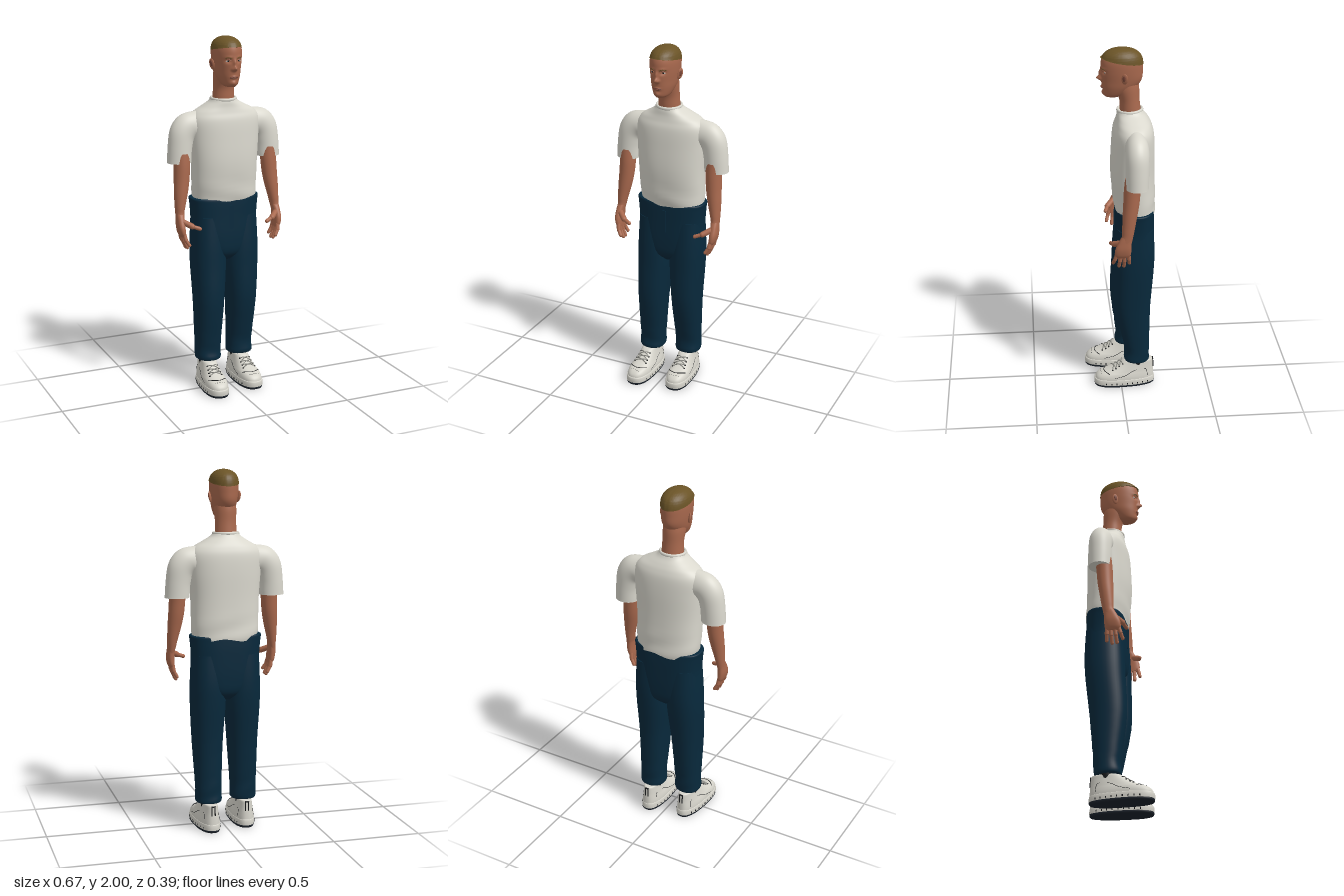
import * as THREE from 'three';
import { toCreasedNormals } from 'three/addons/utils/BufferGeometryUtils.js';

const V = (x, y, z) => new THREE.Vector3(x, y, z);
const mat = (name, color) => Object.assign(new THREE.MeshStandardMaterial({ color }), { name });

const spline = (a, b, c, d, t) =>
  0.5 * (2 * b + (c - a) * t + (2 * a - 5 * b + 4 * c - d) * t * t + (3 * b - a - 3 * c + d) * t * t * t);

// Smooth skin through rings [x, y, z, halfWidth, halfDepth, tilt in degrees], listed upward.
// n squares the outline, taper widens its front, warp moves each point.
function loft(rings, { n = 2, taper = 0, seg = 40, steps = 6, warp } = {}) {
  const rows = [];
  const at = i => rings[Math.min(Math.max(i, 0), rings.length - 1)];
  for (let i = 0; i < rings.length - 1; i++)
    for (let s = 0; s < steps + (i === rings.length - 2 ? 1 : 0); s++)
      rows.push([0, 1, 2, 3, 4, 5].map(k =>
        spline(at(i - 1)[k] || 0, at(i)[k] || 0, at(i + 1)[k] || 0, at(i + 2)[k] || 0, s / steps)));
  const pos = [], idx = [];
  const bend = p => Math.sign(p) * Math.abs(p) ** (2 / n);
  const addRing = ([x, y, z, a, b, tilt]) => {
    const t = THREE.MathUtils.degToRad(tilt);
    for (let j = 0; j < seg; j++) {
      const q = (j / seg) * Math.PI * 2;
      const u = a * bend(Math.cos(q)) * (1 + taper * Math.sin(q));
      const p = V(x + u * Math.cos(t), y + u * Math.sin(t), z + b * bend(Math.sin(q)));
      if (warp) warp(p);
      pos.push(p.x, p.y, p.z);
    }
  };
  rows.forEach(addRing);
  for (let i = 0; i < rows.length - 1; i++)
    for (let j = 0; j < seg; j++) {
      const a = i * seg + j, b = i * seg + (j + 1) % seg;
      idx.push(a, a + seg, b, b, a + seg, b + seg);
    }
  for (const [row, top] of [[rows[0], false], [rows[rows.length - 1], true]]) {
    const base = pos.length / 3;
    addRing(row);
    pos.push(row[0], row[1], row[2]);
    for (let j = 0; j < seg; j++) {
      const a = base + j, b = base + (j + 1) % seg;
      idx.push(base + seg, top ? b : a, top ? a : b);
    }
  }
  const g = new THREE.BufferGeometry();
  g.setAttribute('position', new THREE.Float32BufferAttribute(pos, 3));
  g.setIndex(idx);
  g.computeVertexNormals();
  return g;
}

export function createModel() {
  const M = {
    skin: mat('skin', 0xa9694e), lips: mat('lips', 0x7f4a3c), hair: mat('hair', 0x6b5427),
    shirt: mat('shirt white', 0xdad8ce), denim: mat('dark denim', 0x08293c), shoe: mat('shoe white', 0xd6d4cb),
    sole: mat('sole dark', 0x1b222b), black: mat('black', 0x17191b), lace: mat('lace grey', 0x8c8c86),
    eye: mat('eye white', 0xd9d6d0),
  };
  const root = new THREE.Group();
  root.name = 'standingMan';
  const add = (parent, name, geo, m) => {
    const mesh = new THREE.Mesh(geo, m);
    mesh.name = name;
    parent.add(mesh);
    return mesh;
  };
  const group = name => {
    const g = new THREE.Group();
    g.name = name;
    root.add(g);
    return g;
  };
  const ball = (parent, name, p, s, m) => {
    const mesh = add(parent, name, new THREE.SphereGeometry(1, 20, 14), m);
    mesh.position.copy(p);
    mesh.scale.set(...s);
    return mesh;
  };
  const tube = (parent, name, pts, r, m) =>
    add(parent, name, new THREE.TubeGeometry(new THREE.CatmullRomCurve3(pts), 20, r, 6), m);
  const limb = (parent, name, a, b, r, m) => {
    const mesh = add(parent, name, new THREE.CapsuleGeometry(r, a.distanceTo(b), 5, 12), m);
    mesh.position.copy(a).lerp(b, 0.5);
    mesh.quaternion.setFromUnitVectors(V(0, 1, 0), b.clone().sub(a).normalize());
    return mesh;
  };
  const cast = (mesh, from, dir) => new THREE.Raycaster(from, dir).intersectObject(mesh)[0]?.point ?? from;

  // Head: skull rings with sculpted bumps [x, y, width, height, amount]
  const head = group('head');
  head.position.x = -0.011;
  const skull = [[0, 1.735, 0.035, 0.028, 0.04], [0, 1.75, 0.022, 0.045, 0.064], [0, 1.79, 0, 0.062, 0.093],
    [0, 1.83, -0.012, 0.07, 0.108], [0, 1.88, -0.013, 0.076, 0.112], [0, 1.93, -0.013, 0.077, 0.111],
    [0, 1.965, -0.013, 0.068, 0.097], [0, 1.988, -0.013, 0.046, 0.066], [0, 1.998, -0.013, 0.02, 0.028], [0, 2, -0.013, 0.001, 0.001]];
  const bumps = [[0, 1.868, 0.008, 0.018, 0.012], [0, 1.838, 0.01, 0.013, 0.026], [0, 1.79, 0.017, 0.006, 0.007],
    [0, 1.756, 0.018, 0.012, 0.007], [0, 1.774, 0.015, 0.005, -0.003]];
  for (const s of [-1, 1]) bumps.push([s * 0.012, 1.833, 0.006, 0.007, 0.009], [s * 0.03, 1.877, 0.014, 0.01, -0.01],
    [s * 0.03, 1.897, 0.018, 0.007, 0.004]);
  const sculpt = p => {
    if (p.z <= 0.02) return;
    let dz = 0;
    for (const [x, y, w, h, d] of bumps) dz += d * Math.exp(-(((p.x - x) / w) ** 2) - ((p.y - y) / h) ** 2);
    p.z += dz;
  };
  const face = new THREE.Mesh(loft(skull, { seg: 112, steps: 9, warp: sculpt }), M.skin);
  const onFace = (x, y, lift = 0) => cast(face, V(x, y, 1), V(0, 0, -1)).clone().add(V(0, 0, lift));
  // Cropped hair: the skull slightly enlarged and cut along a sloping hairline
  const crop = loft(skull.map(([x, y, z, a, b]) => [x, y + 0.001, z, a * 1.02 + 0.0005, b * 1.015]), {
    seg: 64, steps: 8, warp: p => { p.y = Math.max(p.y, 1.934 + 0.17 * p.z); },
  });
  add(head, 'hair', toCreasedNormals(crop, 0.9), M.hair);
  for (const s of [-1, 1]) {
    ball(head, 'eyeball', onFace(s * 0.031, 1.877, -0.003), [0.0125, 0.0065, 0.006], M.eye);
    ball(head, 'iris', onFace(s * 0.031, 1.877, 0.002), [0.005, 0.0052, 0.002], M.black);
    tube(head, 'eyebrow', [0.014, 0.03, 0.047].map((x, i) => onFace(s * x, [1.891, 1.897, 1.892][i])), 0.0022, M.hair);
    tube(head, 'eyelid', [0.018, 0.031, 0.044].map((x, i) => onFace(s * x, [1.879, 1.885, 1.879][i], 0.002)), 0.0022, M.skin);
    const ear = ball(head, 'ear', V(s * 0.08, 1.852, -0.022), [0.007, 0.031, 0.018], M.skin);
    ear.rotation.set(-0.15, s * -0.45, s * -0.2);
    const hollow = ball(head, 'earHollow', V(s * 0.085, 1.856, -0.019), [0.004, 0.017, 0.009], M.lips);
    hollow.rotation.copy(ear.rotation);
  }
  for (const y of [1.7935, 1.7855])
    tube(head, 'lip', [-0.022, -0.011, 0, 0.011, 0.022].map(x => onFace(x, y + (1.789 - y) * Math.abs(x) / 0.03)), 0.0028, M.lips);
  head.add(face);
  face.name = 'face';
  add(root, 'neck', loft([[-0.01, 1.58, -0.065, 0.062, 0.058], [-0.01, 1.66, -0.058, 0.06, 0.056],
    [-0.01, 1.72, -0.053, 0.058, 0.055], [-0.011, 1.78, -0.04, 0.061, 0.066], [-0.011, 1.82, -0.03, 0.06, 0.07]]), M.skin);

  // Shirt body with a slightly wavy hem
  const hem = p => {
    const w = Math.max(0, 1 - (p.y - 1.085) / 0.15);
    p.y += w * 0.008 * Math.sin(p.x * 28 + 0.6);
    p.z += 0.003 * Math.sin(p.y * 45 + p.x * 12) * Math.min(1, w * 2);
  };
  add(root, 'shirtBody', loft([[0.003, 1.085, -0.082, 0.178, 0.112], [0.002, 1.13, -0.08, 0.186, 0.115], [0, 1.3, -0.07, 0.19, 0.12],
    [0, 1.45, -0.072, 0.2, 0.117], [0, 1.54, -0.073, 0.203, 0.11], [0, 1.585, -0.073, 0.178, 0.097],
    [-0.003, 1.615, -0.068, 0.128, 0.085], [-0.008, 1.64, -0.06, 0.086, 0.074], [-0.01, 1.657, -0.057, 0.071, 0.067]],
  { n: 2.3, seg: 64, warp: hem }), M.shirt);
  const collar = add(root, 'collar', new THREE.TorusGeometry(0.068, 0.007, 10, 40), M.shirt);
  collar.rotation.x = Math.PI / 2 + 0.04;
  collar.position.set(-0.01, 1.657, -0.056);
  collar.scale.set(1, 0.97, 1.3);

  // Arms, mirrored
  for (const s of [1, -1]) {
    const arm = group(s > 0 ? 'leftArm' : 'rightArm');
    arm.scale.x = s;
    add(arm, 'sleeve', loft([[0.268, 1.315, -0.072, 0.068, 0.062, 0], [0.267, 1.33, -0.072, 0.068, 0.062, 0], [0.262, 1.4, -0.073, 0.068, 0.063, 8],
      [0.248, 1.47, -0.075, 0.074, 0.064, 30], [0.213, 1.508, -0.076, 0.079, 0.063, 55],
      [0.16, 1.512, -0.076, 0.082, 0.061, 80], [0.09, 1.52, -0.075, 0.08, 0.05, 90]]), M.shirt);
    add(arm, 'forearm', loft([[0.292, 1.0, -0.008, 0.02, 0.034], [0.288, 1.04, -0.02, 0.024, 0.031], [0.284, 1.08, -0.025, 0.029, 0.034],
      [0.275, 1.15, -0.033, 0.038, 0.039], [0.267, 1.22, -0.041, 0.043, 0.043], [0.262, 1.3, -0.047, 0.045, 0.045],
      [0.262, 1.37, -0.055, 0.046, 0.046]]), M.skin);
    add(arm, 'palm', loft([[0.283, 0.915, 0.005, 0.013, 0.036], [0.288, 0.935, 0.005, 0.018, 0.044], [0.292, 0.97, 0.002, 0.021, 0.043],
      [0.291, 1.01, -0.008, 0.021, 0.035], [0.288, 1.04, -0.02, 0.022, 0.03]], { n: 2.4 }), M.skin);
    for (const [z, tipZ, tipY] of [[0.037, 0.055, 0.873], [0.016, 0.024, 0.853], [-0.006, -0.003, 0.851], [-0.026, -0.033, 0.868]]) {
      const knuckle = V(0.284, 0.93, z), joint = V(0.279, (0.93 + tipY) / 2, (z + tipZ) / 2);
      limb(arm, 'finger', knuckle, joint, 0.0112, M.skin);
      limb(arm, 'fingertip', joint, V(0.262, tipY, tipZ), 0.0098, M.skin);
    }
    limb(arm, 'thumbBase', V(0.285, 1.0, 0.012), V(0.242, 0.977, 0.05), 0.016, M.skin);
    limb(arm, 'thumb', V(0.242, 0.977, 0.05), V(0.203, 0.963, 0.064), 0.011, M.skin);
  }

  // Trousers
  add(root, 'hips', loft([[0, 0.745, -0.075, 0.03, 0.06], [0, 0.79, -0.077, 0.13, 0.1], [0, 0.87, -0.078, 0.184, 0.109],
    [0, 1, -0.08, 0.19, 0.109], [0, 1.07, -0.08, 0.196, 0.108], [0, 1.1, -0.08, 0.2, 0.106], [0, 1.106, -0.08, 0.192, 0.1]], { n: 2.7, seg: 56 }), M.denim);
  add(root, 'fly', new THREE.BoxGeometry(0.022, 0.13, 0.006), M.denim).position.set(0, 1.0, 0.03);
  const crease = p => { p.z += 0.003 * Math.sin(p.y * 60 + p.x * 20) * Math.max(0, 1 - p.y / 0.6); };
  const legs = {
    left: [[0.1, 0.16, -0.09, 0.068, 0.068], [0.1, 0.175, -0.09, 0.074, 0.073], [0.1, 0.25, -0.09, 0.073, 0.072], [0.1, 0.5, -0.067, 0.084, 0.099],
      [0.098, 0.72, -0.074, 0.097, 0.108], [0.1, 0.85, -0.078, 0.095, 0.109], [0.1, 1, -0.08, 0.088, 0.1]],
    right: [[-0.11, 0.16, -0.055, 0.066, 0.069], [-0.11, 0.175, -0.055, 0.073, 0.074], [-0.11, 0.25, -0.057, 0.073, 0.074], [-0.105, 0.5, -0.054, 0.084, 0.1],
      [-0.1, 0.72, -0.071, 0.097, 0.109], [-0.1, 0.85, -0.077, 0.095, 0.109], [-0.1, 1, -0.08, 0.088, 0.1]],
  };
  for (const side in legs) add(root, side + 'TrouserLeg', loft(legs[side], { n: 2.3, warp: crease }), M.denim);

  // Shoes: rows of [y, toe z, heel z, half width]
  const slab = rows => loft(rows.map(([y, f, b, w]) => [0, y, (f + b) / 2, w, (f - b) / 2]), { n: 2.5, taper: 0.1, seg: 64, steps: 4 });
  for (const [side, x, z, turn] of [['left', 0.1, -0.02, 0.03], ['right', -0.12, 0.022, -0.05]]) {
    const shoe = group(side + 'Shoe');
    add(shoe, 'outsole', slab([[0, 0.17, -0.17, 0.064], [0.006, 0.174, -0.174, 0.068], [0.014, 0.174, -0.174, 0.068]]), M.sole);
    add(shoe, 'midsole', slab([[0.014, 0.175, -0.175, 0.069], [0.03, 0.176, -0.175, 0.069], [0.044, 0.174, -0.173, 0.067], [0.047, 0.168, -0.17, 0.064]]), M.shoe);
    const upper = add(shoe, 'upper', slab([[0.04, 0.17, -0.171, 0.065], [0.06, 0.165, -0.17, 0.064], [0.078, 0.145, -0.169, 0.06], [0.092, 0.108, -0.168, 0.055],
      [0.11, 0.065, -0.166, 0.05], [0.132, 0.03, -0.165, 0.045], [0.152, 0.004, -0.163, 0.041], [0.157, -0.01, -0.155, 0.034]]), M.shoe);
    const onTop = (px, pz, lift = 0.001) => cast(upper, V(px, 1, pz), V(0, -1, 0)).clone().add(V(0, lift, 0));
    const onSide = (s, py, pz) => cast(upper, V(s, py, pz), V(-s, 0, 0)).clone();
    add(shoe, 'ankle', new THREE.CylinderGeometry(0.045, 0.045, 0.06, 24), M.black).position.set(0, 0.15, -0.075);
    // Toe cap stitching and vent holes
    tube(shoe, 'toeSeam', [-0.052, -0.035, 0, 0.035, 0.052].map((px, i) => onTop(px, [0.088, 0.107, 0.12, 0.107, 0.088][i])), 0.002, M.black);
    for (let i = -2; i <= 2; i++) ball(shoe, 'ventHole', onTop(i * 0.013, 0.137, 0), [0.002, 0.002, 0.002], M.black);
    // Crossed laces with eyelets
    for (let i = 0; i < 4; i++) {
      const z0 = 0.072 - i * 0.02, w = 0.036 - i * 0.002;
      for (const s of [-1, 1]) {
        ball(shoe, 'eyelet', onTop(s * w, z0), [0.005, 0.004, 0.005], M.black);
        if (i < 3) tube(shoe, 'lace', [-1, -0.5, 0, 0.5, 1].map((t, k) => onTop(s * t * w, z0 - k * 0.005, 0.003)), 0.0028, M.lace);
      }
    }
    // Side panel seams, sole ticks and heel tab
    for (const s of [-1, 1]) {
      tube(shoe, 'sideSeam', [[0.06, 0.06], [0.075, 0], [0.1, -0.05], [0.105, -0.12], [0.06, -0.13]].map(([py, pz]) => onSide(s, py, pz)), 0.0013, M.black);
      for (let i = 0; i < 9; i++) {
        const pz = -0.13 + i * 0.03;
        const p = cast(shoe.children[1], V(s, 0.024, pz), V(-s, 0, 0));
        add(shoe, 'soleTick', new THREE.BoxGeometry(0.003, 0.01, 0.005), M.black).position.copy(p);
      }
      limb(shoe, 'heelTrim', V(s * 0.009, 0.1, -0.168), V(s * 0.009, 0.148, -0.165), 0.003, M.black);
    }
    limb(shoe, 'heelTab', V(-0.009, 0.15, -0.165), V(0.009, 0.15, -0.165), 0.004, M.black);
    shoe.position.set(x, 0, z);
    shoe.rotation.y = turn;
  }
  return root;
}
